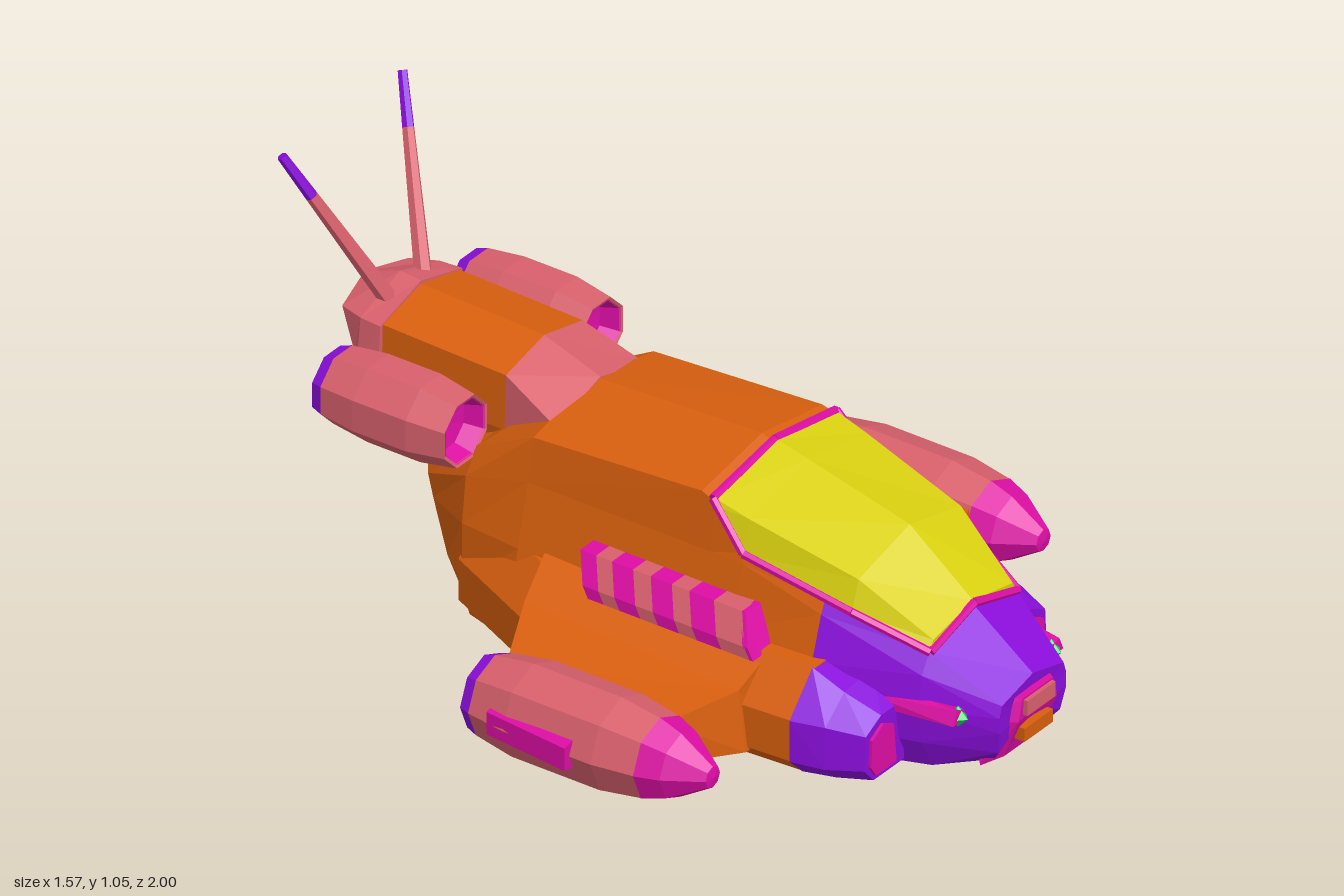
import * as THREE from 'three';

const paint = (color, side = THREE.FrontSide) =>
  new THREE.MeshStandardMaterial({ color, flatShading: true, side });
const COLORS = { orange: 0xd85f0e, purple: 0x8a0edb, yellow: 0xd9d010, magenta: 0xdc0ea4, pink: 0xd8606c, green: 0x10d860 };
const SOLID = {}, OPEN = {};
for (const k in COLORS) {
  SOLID[k] = paint(COLORS[k]);
  OPEN[k] = paint(COLORS[k], THREE.DoubleSide);
}

export function createModel() {
  const model = new THREE.Group();

  function add(name, geometry, material, parent = model) {
    const mesh = new THREE.Mesh(geometry, material);
    mesh.name = name;
    parent.add(mesh);
    return mesh;
  }

  // Capped skin through closed rings of [x, y, z]; faces are turned outward
  function loft(rings) {
    const tris = [], n = rings[0].length;
    for (let i = 0; i + 1 < rings.length; i++)
      for (let j = 0; j < n; j++) {
        const k = (j + 1) % n, a = rings[i], b = rings[i + 1];
        tris.push([a[j], a[k], b[k]], [a[j], b[k], b[j]]);
      }
    const first = rings[0], last = rings[rings.length - 1];
    const mid = r => [0, 1, 2].map(c => r.reduce((s, p) => s + p[c], 0) / n);
    for (let j = 0; j < n; j++) {
      const k = (j + 1) % n;
      tris.push([mid(first), first[k], first[j]], [mid(last), last[j], last[k]]);
    }
    const V = p => new THREE.Vector3(...p);
    const volume = tris.reduce((s, [a, b, c]) => s + V(a).dot(V(b).cross(V(c))), 0);
    if (volume < 0) tris.forEach(t => t.reverse());
    const g = new THREE.BufferGeometry();
    g.setAttribute('position', new THREE.Float32BufferAttribute(tris.flat(2), 3));
    g.computeVertexNormals();
    return g;
  }

  // Ring at z; a point may carry its own z
  const ring = (z, pts, s = 1) => pts.map(p => [p[0] * s, p[1], p[2] ?? z]);
  // Half profile from bottom to top centre, closed by its mirror image
  function section(z, pts) {
    const half = ring(z, pts);
    const other = half.filter(p => p[0] > 0).reverse().map(p => [-p[0], p[1], p[2]]);
    return [...half, ...other];
  }

  function strut(name, a, b, r1, r2, sides, material) {
    const A = new THREE.Vector3(...a), B = new THREE.Vector3(...b);
    const mesh = add(name, new THREE.CylinderGeometry(r2, r1, A.distanceTo(B), sides), material);
    mesh.position.copy(A).add(B).multiplyScalar(0.5);
    mesh.quaternion.setFromUnitVectors(new THREE.Vector3(0, 1, 0), B.sub(A).normalize());
  }

  // Eight-sided shell along z from [radius, z] points
  function turned(name, pts, material, parent, phase) {
    const g = new THREE.LatheGeometry(pts.map(p => new THREE.Vector2(...p)), 8, phase);
    add(name, g.rotateX(Math.PI / 2), material, parent);
  }

  // Main hull: purple nose, then orange body
  const joint = section(0.55, [[.25, .02], [.3, .12], [.285, .27], [.25, .38], [.235, .41], [0, .42]]);
  add('nose', loft([
    section(.97, [[.08, .04, .92], [.12, .09, .96], [.13, .15], [.13, .19], [.12, .22], [0, .25]]),
    section(.8, [[.16, .02], [.2, .1], [.215, .2], [.2, .28], [.17, .33], [0, .375]]),
    joint]), SOLID.purple);
  const body = (z, roof, top) => section(z, [[.3, .02], [.33, .12], [.295, .28], [.255, .44], roof, [0, top]]);
  add('hull', loft([
    joint,
    body(.33, [.247, .465], .47),
    body(.24, [.238, .565], .605),
    body(.2, [.235, .58], .62),
    body(-.28, [.235, .55], .6),
    section(-.45, [[.25, .02], [.28, .12], [.28, .28], [.265, .4], [.22, .46], [0, .47]]),
    section(-.6, [[.18, .02, -.52], [.2, .12, -.55], [.2, .26, -.59], [.2, .32, -.605], [.18, .37, -.62], [0, .37, -.62]])
  ]), SOLID.orange);

  // Canopy and its trim
  add('canopy', loft([
    section(.8, [[.17, .33], [.155, .355], [0, .385]]),
    section(.62, [[.225, .4], [.2, .475], [0, .525]]),
    section(.33, [[.252, .465], [.232, .55], [0, .597]]),
    section(.24, [[.243, .56], [.237, .575], [0, .618]])
  ]), SOLID.yellow);
  const edge = [[0, .38, .803], [.17, .33, .803], [.226, .4, .62], [.252, .465, .33], [.24, .575, .235], [0, .615, .235]];
  for (const s of [1, -1])
    for (let i = 0; i + 1 < edge.length; i++)
      strut('canopyTrim', ...[edge[i], edge[i + 1]].map(([x, y, z]) => [x * s, y, z]), .011, .011, 6, SOLID.magenta);

  // Nose grille
  add('noseGrille', loft([
    section(.985, [[.07, .05, .94], [.075, .16], [.06, .215], [0, .215]]),
    section(.9, [[.11, .03], [.125, .15], [.1, .22], [0, .22]])]), SOLID.magenta);
  [['pink', .19, .04, .97], ['orange', .115, .035, .962]].forEach(([c, y, h, z]) =>
    add('grilleBar', new THREE.BoxGeometry(.11, h, .05).translate(0, y, z), SOLID[c]));

  // Raised spine and tail
  const spineMid = section(-.42, [[.14, .42], [.155, .48], [.15, .625], [0, .66]]);
  const spineEnd = section(-.77, [[.14, .42], [.155, .48], [.15, .635], [0, .672]]);
  add('spineFront', loft([section(-.26, [[.14, .42], [.17, .48], [.175, .555], [0, .605]]), spineMid]), SOLID.pink);
  add('spine', loft([spineMid, spineEnd]), SOLID.orange);
  add('tailCap', loft([
    section(-.77, [[.12, .42], [.17, .5], [.16, .635], [0, .68]]),
    section(-.83, [[.12, .415, -.8], [.17, .52, -.83], [.155, .635], [0, .685]]),
    section(-.92, [[.1, .42, -.805], [.15, .53, -.85], [.13, .63, -.9], [0, .65, -.93]])]), SOLID.pink);
  add('tailBlock', loft([
    section(-.5, [[.12, .29], [.15, .43], [0, .43]]),
    section(-.75, [[.11, .29, -.74], [.15, .43, -.78], [0, .43, -.78]])]), SOLID.pink);

  // Engine pod, open at the back with a glowing nozzle
  function engine(name, x, y, back, phase, shell, rim) {
    const pod = new THREE.Group();
    pod.name = name;
    pod.position.set(x, y, 0);
    model.add(pod);
    turned('engineShell', shell, OPEN.pink, pod, phase);
    const r = shell[shell.length - 1][0];
    turned('nozzleRim', [[r, back + .03], [rim, back], [rim - .02, back], [rim - .025, back + .03]], OPEN.purple, pod, phase);
    turned('nozzle', [[rim - .02, back + .005], [rim - .04, back + .05], [0, back + .08]], OPEN.green, pod, phase);
    return pod;
  }

  for (const s of [1, -1]) {
    const side = s > 0 ? 'left' : 'right';
    const pair = (name, rings, color) => add(side + name, loft(rings.map(([z, p]) => ring(z, p, s))), SOLID[color]);

    // Side skirt and cheek intake
    const skirt = w => [[.15, .02], [w - .05, .02], [w, .07], [w, .18], [w - .09, .28], [.15, .28]];
    pair('Skirt', [[.58, skirt(.405)], [.42, skirt(.415)], [-.17, skirt(.415)], [-.46, skirt(.28)]], 'orange');
    pair('Cheek', [[.75, [[.2, .04], [.32, .04], [.355, .08], [.35, .17], [.29, .2], [.2, .2]]],
      [.66, [[.2, .02], [.34, .025], [.39, .07], [.385, .18], [.31, .24], [.2, .25]]],
      [.575, skirt(.408)]], 'purple');
    const intake = [[.24, .055], [.32, .055], [.34, .085], [.335, .155], [.29, .18], [.25, .16]];
    pair('CheekIntake', [[.758, intake], [.74, intake]], 'magenta');

    // Nose blade and lamp
    pair('NoseBlade', [[.9, [[.17, .185], [.215, .185], [.2, .22], [.17, .21]]],
      [.66, [[.19, .185], [.25, .185], [.25, .215], [.2, .225]]]], 'magenta');
    add(side + 'Lamp', new THREE.OctahedronGeometry(.028).translate(s * .182, .195, .89), SOLID.green);

    // Striped shoulder vent, in slanted bands
    const vent = z => [[.24, .27, z + .05], [.365, .27, z + .05], [.365, .3, z + .035], [.325, .365, z], [.24, .365, z]];
    const cuts = [.38, .3, .23, .18, .12, .07, .01, -.035, -.08];
    for (let i = 0; i + 1 < cuts.length; i++)
      pair('VentBand', [[0, vent(cuts[i])], [0, vent(cuts[i + 1])]], i % 2 ? 'magenta' : 'pink');
    pair('VentIntake', [[0, vent(.39)], [0, vent(.375)]], 'magenta');

    // Stub wing, root to tip
    pair('Wing', [
      [0, [[.3, .06, .46], [.3, .28, .45], [.3, .3, -.2], [.3, .06, -.2]]],
      [0, [[.42, .06, .46], [.42, .22, .44], [.42, .24, -.17], [.42, .06, -.17]]],
      [0, [[.6, .08, .36], [.6, .19, .36], [.6, .19, -.09], [.6, .08, -.09]]]], 'orange');

    // Lower engine with cone and scoop
    const low = engine(side + 'LowerEngine', s * .645, .13, -.12, 0,
      [[.105, .38], [.122, .27], [.122, .02], [.105, -.09]], .095);
    turned('engineCone', [[0, .535], [.028, .53], [.085, .44], [.106, .38]], OPEN.magenta, low, 0);
    pair('EngineScoop', [
      [.21, [[.7, .085], [.785, .1], [.785, .16], [.7, .175]]],
      [-.03, [[.7, .085], [.76, .1], [.76, .16], [.7, .175]]]], 'magenta');

    // Upper engine with open intake
    const up = engine(side + 'UpperEngine', s * .265, .52, -.83, Math.PI / 8,
      [[.08, -.455], [.09, -.45], [.107, -.55], [.107, -.7], [.095, -.8]], .085);
    turned('engineIntake', [[.082, -.452], [.065, -.5], [0, -.51]], OPEN.magenta, up, Math.PI / 8);

    // Antenna
    const at = t => [s * (.068 + .167 * t), .65 + .4 * t, -.815 - .18 * t];
    strut(side + 'Antenna', at(0), at(.72), .022, .015, 6, SOLID.pink);
    strut(side + 'AntennaTip', at(.72), at(1), .015, .012, 6, SOLID.purple);
  }
  return model;
}
